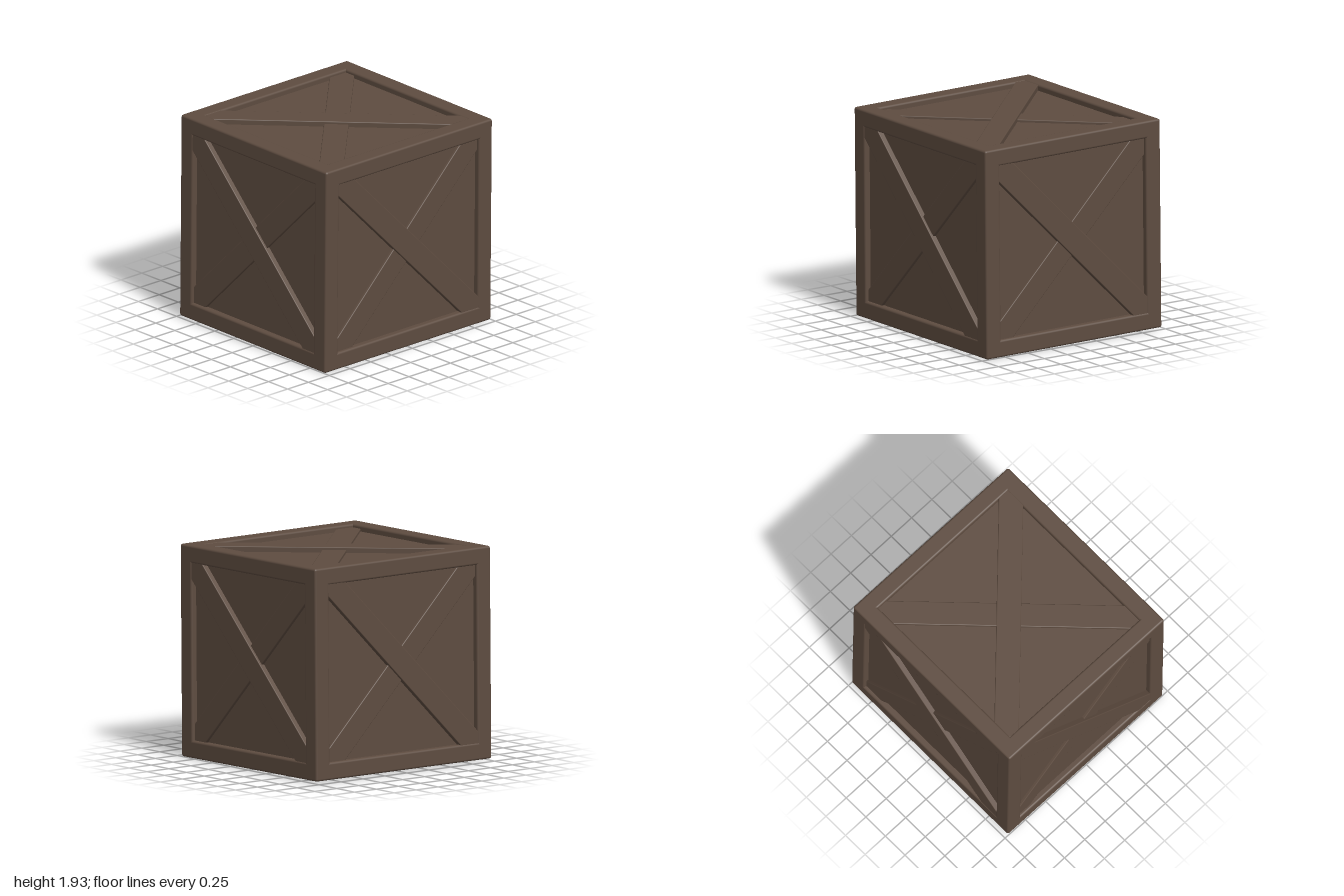
import * as THREE from 'three';
import { RoundedBoxGeometry } from 'three/addons/geometries/RoundedBoxGeometry.js';

const HALF = [1, 0.955, 0.955];   // half size of the crate in x, y, z
const BAR = 0.158;                // frame bar thickness
const RECESS = 0.055;             // panels sit this far behind the frame
const BEVEL = 0.02;

export function createModel() {
  const wood = new THREE.MeshStandardMaterial({ color: 0x5e4c40 });
  wood.name = 'dark brown wood';

  const block = (name, w, h, d, bevel) => {
    const geo = bevel ? new RoundedBoxGeometry(w, h, d, 2, bevel) : new THREE.BoxGeometry(w, h, d);
    const mesh = new THREE.Mesh(geo, wood);
    mesh.name = name;
    return mesh;
  };

  const crate = new THREE.Group();
  crate.name = 'crate';

  // Recessed panels on all six sides
  crate.add(block('panels', ...HALF.map((h) => 2 * (h - RECESS)), 0));

  // Twelve frame bars: four along each axis
  const frame = new THREE.Group();
  frame.name = 'frame';
  const barNames = ['rail', 'post', 'sideRail'];
  for (let axis = 0; axis < 3; axis++) {
    const b = (axis + 1) % 3, c = (axis + 2) % 3;
    for (const sb of [-1, 1]) for (const sc of [-1, 1]) {
      const size = [BAR, BAR, BAR];
      size[axis] = 2 * HALF[axis];
      const pos = [0, 0, 0];
      pos[b] = sb * (HALF[b] - BAR / 2);
      pos[c] = sc * (HALF[c] - BAR / 2);
      const bar = block(barNames[axis], ...size, BEVEL);
      bar.position.set(...pos);
      frame.add(bar);
    }
  }
  crate.add(frame);

  // Crossed braces on each side: a low one with a taller one laid over it
  const sides = [
    ['front', 0, 0, HALF[2]], ['back', 0, Math.PI, HALF[2]],
    ['left', 0, Math.PI / 2, HALF[0]], ['right', 0, -Math.PI / 2, HALF[0]],
    ['top', -Math.PI / 2, 0, HALF[1]], ['bottom', Math.PI / 2, 0, HALF[1]],
  ];
  for (const [name, rx, ry, reach] of sides) {
    const side = new THREE.Group();
    side.name = name + 'Braces';
    const addBrace = (part, angle, top) => {
      const depth = 0.1;
      const brace = block(part, 2.34, 0.218, depth, 0.008);
      brace.rotation.z = angle;
      brace.position.z = reach - top - depth / 2;
      side.add(brace);
    };
    addBrace('lowerBrace', Math.PI / 4, 0.03);
    addBrace('upperBrace', -Math.PI / 4, 0.006);
    side.rotation.set(rx, ry, 0);
    crate.add(side);
  }

  // The crate leans very slightly forward
  crate.rotation.x = 0.0104;
  crate.position.y = 0.965;

  const model = new THREE.Group();
  model.name = 'woodenCrate';
  model.add(crate);
  return model;
}
